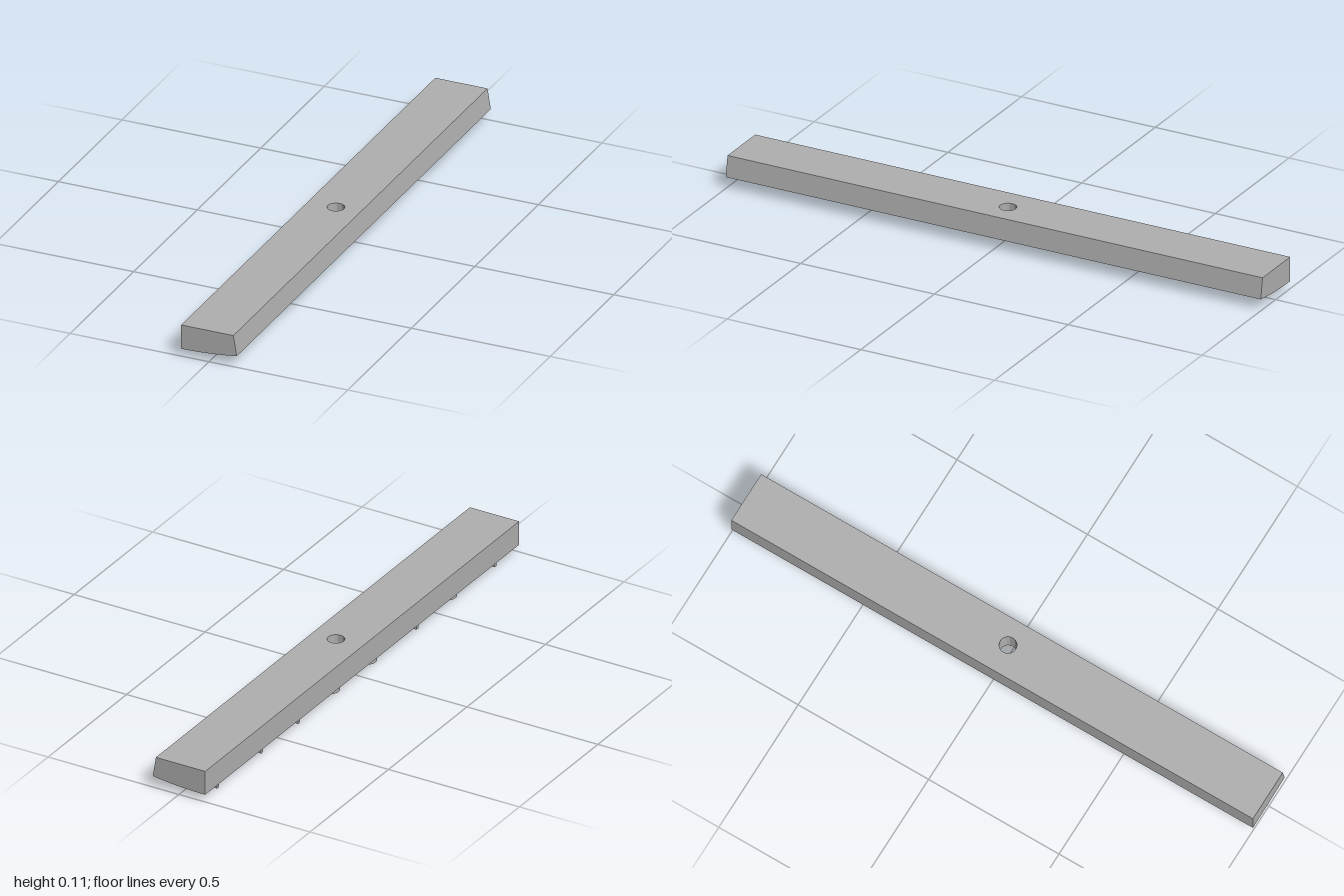
import * as THREE from 'three';
import { toCreasedNormals } from 'three/addons/utils/BufferGeometryUtils.js';

const TOP = 0.115, HALF = 0.1, TOP_RIGHT = 0.088, HOLE = 0.029, RELIEF = 0.027;

// Height of the gently curved underside at x
const underside = (x) => 0.028 + 0.35 * (x + HALF) ** 2;

// Solid length of bar between two z positions
function barGeometry(z0, z1) {
  const s = new THREE.Shape();
  s.moveTo(-HALF, TOP);
  for (let i = 0; i <= 12; i++) {
    const x = -HALF + (2 * HALF * i) / 12;
    s.lineTo(x, underside(x));
  }
  s.lineTo(TOP_RIGHT, TOP);
  const g = new THREE.ExtrudeGeometry(s, { depth: z1 - z0, bevelEnabled: false });
  g.translate(0, 0, z0);
  return toCreasedNormals(g, 0.5);
}

// Middle block: cross-sections swept around the vertical through hole
function boredGeometry() {
  const steps = 64, pos = [], index = [];
  let n = 0;
  for (let i = 0; i <= steps; i++) {
    const a = (i / steps) * Math.PI * 2, c = Math.cos(a), s = Math.sin(a);
    const reach = HALF / Math.max(Math.abs(c), Math.abs(s));
    const topX = c > 0 ? (c * reach * TOP_RIGHT) / HALF : c * reach;
    const section = [[c * HOLE, TOP, s * HOLE], [topX, TOP, s * reach]];
    for (let k = 0; k <= 6; k++) {
      const r = THREE.MathUtils.lerp(reach, HOLE, k / 6);
      section.push([c * r, underside(c * r), s * r]);
    }
    section.push(section[0]);
    n = section.length;
    section.forEach((p) => pos.push(...p));
  }
  for (let i = 0; i < steps; i++) {
    for (let j = 0; j < n - 1; j++) {
      const a = i * n + j, b = a + n;
      index.push(a, b, a + 1, b, b + 1, a + 1);
    }
  }
  const g = new THREE.BufferGeometry();
  g.setAttribute('position', new THREE.Float32BufferAttribute(pos, 3));
  g.setIndex(index);
  return toCreasedNormals(g, 0.5);
}

// Plan shapes for the raised ribs, drawn in x and z
function arcShape(x, z, radius, from, to, width = 0.012) {
  const s = new THREE.Shape();
  s.absarc(x, z, radius, from, to, false);
  s.absarc(x, z, radius - width, to, from, true);
  s.closePath();
  return s;
}

function barShape(x0, z0, x1, z1, width = 0.012) {
  const d = new THREE.Vector2(x1 - x0, z1 - z0).setLength(width / 2);
  return new THREE.Shape([
    new THREE.Vector2(x0 + d.y, z0 - d.x), new THREE.Vector2(x1 + d.y, z1 - d.x),
    new THREE.Vector2(x1 - d.y, z1 + d.x), new THREE.Vector2(x0 - d.y, z0 + d.x),
  ]);
}

// Rib standing down from the underside and following its curve
function ribGeometry(shape) {
  const g = new THREE.ExtrudeGeometry(shape, { depth: RELIEF + 0.002, bevelEnabled: false, curveSegments: 14 });
  g.rotateX(Math.PI / 2);
  const p = g.attributes.position;
  for (let i = 0; i < p.count; i++) p.setY(i, p.getY(i) + 0.002 + underside(p.getX(i)));
  return toCreasedNormals(g, 0.5);
}

export function createModel() {
  const grey = new THREE.MeshStandardMaterial({ color: 0xb0b0b0 });
  grey.name = 'plain grey';
  const model = new THREE.Group();
  model.name = 'bar';
  const add = (parent, name, geometry) => {
    const mesh = new THREE.Mesh(geometry, grey);
    mesh.name = name;
    parent.add(mesh);
  };

  // Bar body
  add(model, 'frontLength', barGeometry(HALF, 1));
  add(model, 'boredMiddle', boredGeometry());
  add(model, 'backLength', barGeometry(-1, -HALF));

  // Hooked ribs: an open arc, side stubs and a short centre web
  const hook = (z, w) => [
    arcShape(-0.042, z, 0.036, -Math.PI / 2, Math.PI / 2),
    barShape(-0.042, z - w / 2, -0.042, z - 0.024),
    barShape(-0.042, z + 0.024, -0.042, z + w / 2),
    barShape(-0.086, z, -0.05, z),
  ];
  // Angled ribs: a long slanting bar beside a small arc
  const slant = (z, dir) => [
    barShape(0.018, z - 0.034 * dir, -0.03, z + 0.034 * dir),
    arcShape(-0.052, z, 0.034, Math.PI / 2, Math.PI * 1.5),
  ];

  const ribs = [
    hook(-0.895, 0.11),
    hook(-0.615, 0.11),
    hook(-0.378, 0.075),
    slant(-0.127, 1),
    slant(0.108, -1.3),
    hook(0.375, 0.13),
    // Roof-shaped rib with a small arc under it
    [barShape(-0.035, 0.585, 0.0, 0.62), barShape(0.0, 0.62, -0.035, 0.658),
      arcShape(-0.05, 0.622, 0.034, Math.PI / 2, Math.PI * 1.5)],
    // Single short rib
    [barShape(-0.085, 0.875, -0.055, 0.875)],
  ];
  ribs.forEach((shapes, i) => {
    const group = new THREE.Group();
    group.name = `undersideRib${i + 1}`;
    shapes.forEach((shape) => add(group, 'rib', ribGeometry(shape)));
    model.add(group);
  });
  return model;
}
